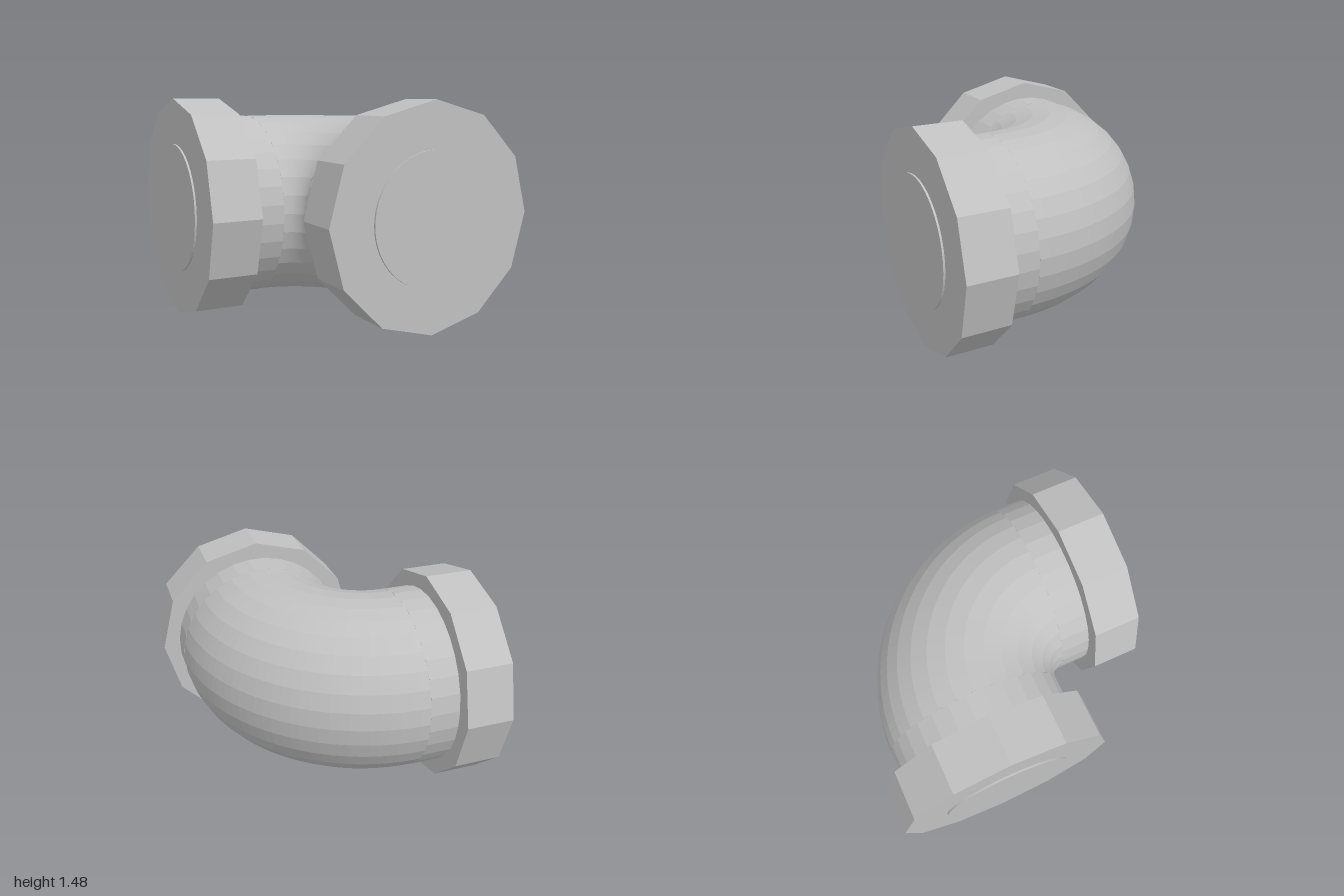
import * as THREE from 'three';

const AXIS_Y = 0.738;     // height of the pipe axis
const OFFSET = 0.262;     // sideways offset of each arm's axis
const BEND = 0.46;        // where the bend meets the straight arms
const PIPE_R = 0.62;

export function createModel() {
  const model = new THREE.Group();
  model.name = 'pipeElbow';
  const grey = new THREE.MeshStandardMaterial({ color: 0xc0c0c0, flatShading: true });
  grey.name = 'grey';

  const add = (parent, name, geometry) => {
    const mesh = new THREE.Mesh(geometry, grey);
    mesh.name = name;
    parent.add(mesh);
    return mesh;
  };

  // Cylinder along z between two depths
  const alongZ = (radius, z0, z1, sides, turn = 0, open = false) =>
    new THREE.CylinderGeometry(radius, radius, z1 - z0, sides, 1, open)
      .rotateY(turn)
      .rotateX(Math.PI / 2)
      .translate(0, 0, (z0 + z1) / 2);

  // Quarter-turn bend
  const bend = add(model, 'bend',
    new THREE.TorusGeometry(BEND + OFFSET, PIPE_R, 32, 32, Math.PI / 2).rotateX(-Math.PI / 2));
  bend.position.set(-BEND, AXIS_Y, BEND);

  // One arm: straight pipe, twelve-sided collar and round end plate
  const addArm = (name) => {
    const arm = new THREE.Group();
    arm.name = name;
    add(arm, 'straightPipe', alongZ(PIPE_R, BEND, 0.67, 32, Math.PI / 32, true));
    add(arm, 'collar', alongZ(0.738, 0.662, 0.987, 12));
    add(arm, 'endPlate', alongZ(0.435, 0.98, 1, 64));
    model.add(arm);
    return arm;
  };

  addArm('frontArm').position.set(OFFSET, AXIS_Y, 0);
  const sideArm = addArm('sideArm');
  sideArm.rotation.y = -Math.PI / 2;
  sideArm.position.set(0, AXIS_Y, -OFFSET);

  return model;
}
